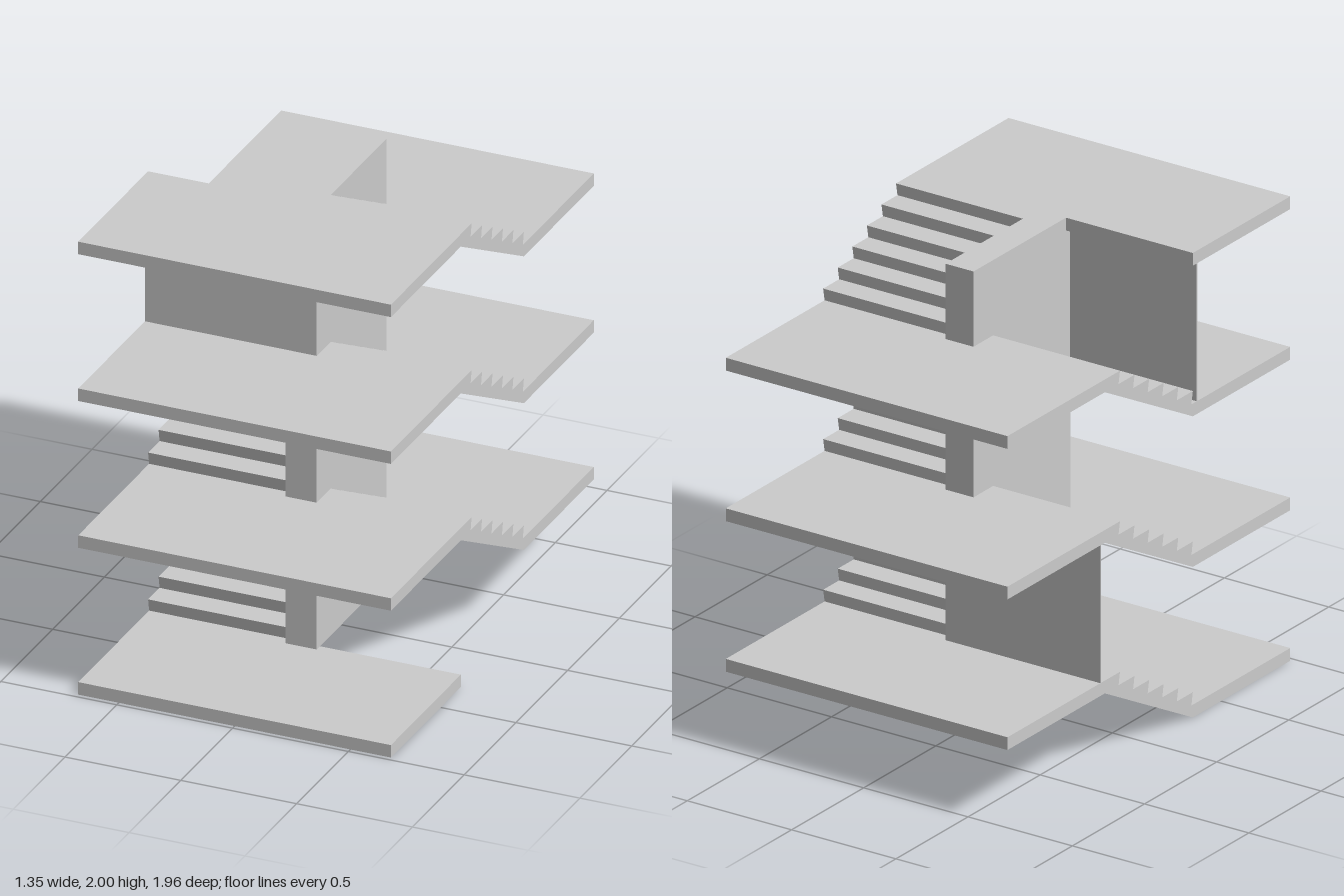
import * as THREE from 'three';

const HALF_X = 0.675, HALF_Z = 0.98, EDGE = 0.305, SLAB = 0.055;
const SPINE_X = 0.067, SPINE_Z = 0.336;
const STOREYS = 3, STOREY_H = (2 - SLAB) / STOREYS, HALF_H = STOREY_H / 2;
const STEPS = 6, GOING = 0.101, RISE = HALF_H / STEPS, NOSING = 0.01;

const material = new THREE.MeshStandardMaterial({ color: 0xcccccc, flatShading: true });

// Box given by its minimum and maximum corners
function block(name, [x0, y0, z0], [x1, y1, z1]) {
  const mesh = new THREE.Mesh(new THREE.BoxGeometry(x1 - x0, y1 - y0, z1 - z0), material);
  mesh.position.set((x0 + x1) / 2, (y0 + y1) / 2, (z0 + z1) / 2);
  mesh.name = name;
  return mesh;
}

// Stepped flight with a sloping soffit; dir is the z direction in which it climbs
function flight(name, xMax, base, dir) {
  const pts = [[-EDGE, base - SLAB], [-EDGE, base]];
  for (let i = 0; i < STEPS; i++) {
    const nose = -EDGE + i * GOING;
    pts.push([nose + NOSING, base + i * RISE]);   // undercut foot of riser
    pts.push([nose, base + (i + 1) * RISE]);      // nosing
  }
  pts.push([EDGE, base + HALF_H], [EDGE, base + HALF_H - SLAB]);
  const shape = new THREE.Shape(pts.map(([u, y]) => new THREE.Vector2(u * dir, y)));
  const geo = new THREE.ExtrudeGeometry(shape, { depth: HALF_X - SPINE_X, bevelEnabled: false });
  geo.rotateY(-Math.PI / 2);
  geo.translate(xMax, 0, 0);
  const mesh = new THREE.Mesh(geo, material);
  mesh.name = name;
  return mesh;
}

export function createModel() {
  const model = new THREE.Group();
  model.name = 'staircase';

  // Front floor landings
  for (let i = 0; i <= STOREYS; i++) {
    const top = SLAB + i * STOREY_H;
    model.add(block(`floorLanding${i}`, [-HALF_X, top - SLAB, EDGE], [HALF_X, top, HALF_Z]));
  }

  // Each storey: a flight to the back, a half landing, a flight to the front
  for (let i = 0; i < STOREYS; i++) {
    const floor = SLAB + i * STOREY_H, mid = floor + HALF_H;
    model.add(flight(`lowerFlight${i}`, -SPINE_X, floor, -1));
    model.add(block(`halfLanding${i}`, [-HALF_X, mid - SLAB, -HALF_Z], [HALF_X, mid, -EDGE]));
    model.add(flight(`upperFlight${i}`, HALF_X, mid, 1));
  }

  // Central wall between the flights
  model.add(block('spineWall', [-SPINE_X, SLAB, -SPINE_Z], [SPINE_X, 2, SPINE_Z]));

  // Thin screens: bottom storey at the back, top storey at the front
  const t = 0.004, mid0 = SLAB + HALF_H;
  model.add(block('backScreen', [-HALF_X, mid0, -SPINE_Z],
    [SPINE_X, mid0 + STOREY_H - SLAB, -SPINE_Z + t]));
  model.add(block('frontScreen', [-HALF_X, 2 - STOREY_H, SPINE_Z - t],
    [SPINE_X, 2 - SLAB, SPINE_Z]));

  return model;
}
